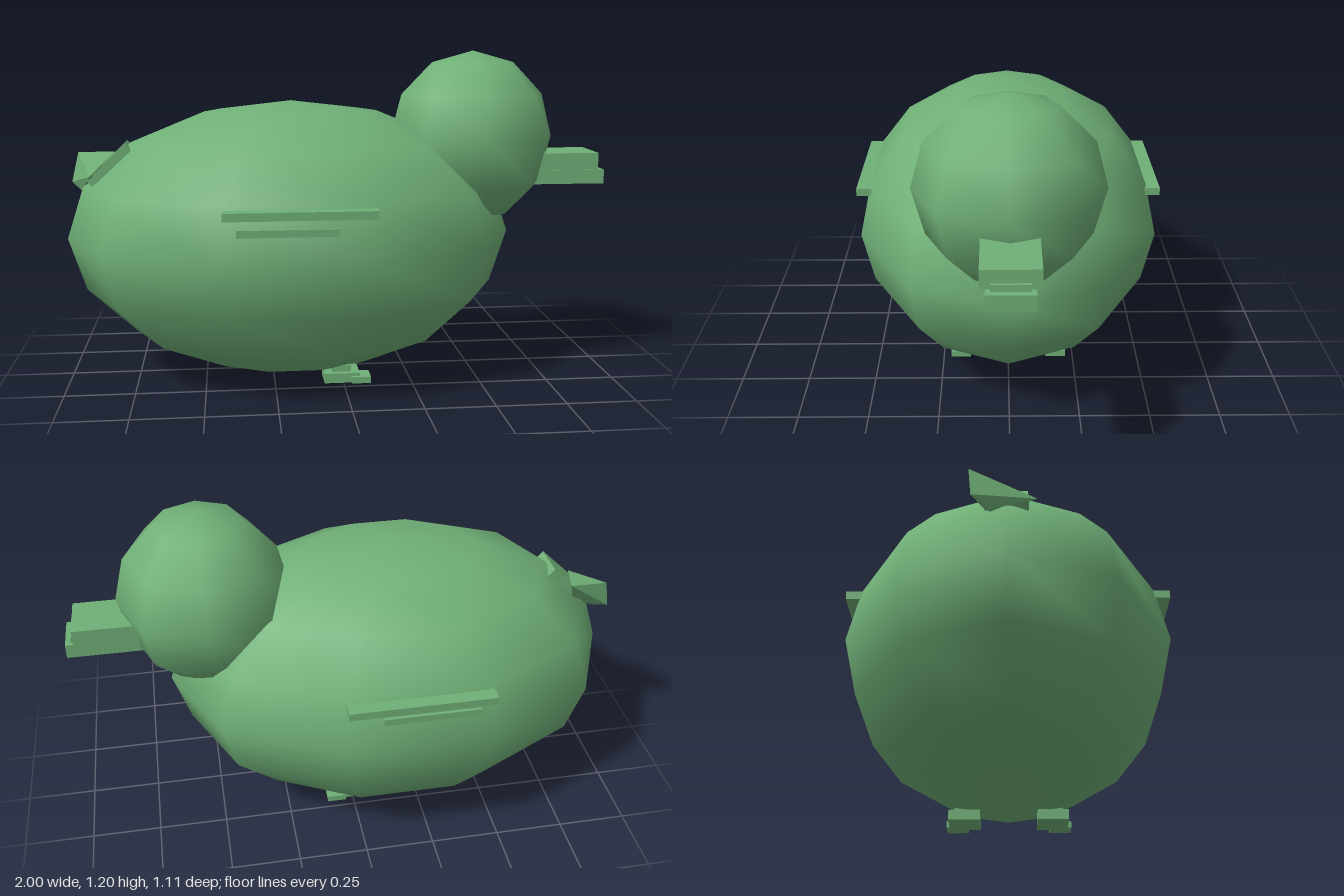
import * as THREE from 'three';
import { ConvexGeometry } from 'three/addons/geometries/ConvexGeometry.js';

export function createModel() {
  const model = new THREE.Group();
  model.name = 'bird';
  const green = new THREE.MeshStandardMaterial({ color: 0x70b077 });
  const facetedGreen = new THREE.MeshStandardMaterial({ color: 0x70b077, flatShading: true });

  function add(name, geometry, material = green) {
    const mesh = new THREE.Mesh(geometry, material);
    mesh.name = name;
    model.add(mesh);
    return mesh;
  }

  // Box given by its extents on each axis
  function box(name, [x0, x1], [y0, y1], [z0, z1]) {
    const mesh = add(name, new THREE.BoxGeometry(x1 - x0, y1 - y0, z1 - z0));
    mesh.position.set((x0 + x1) / 2, (y0 + y1) / 2, (z0 + z1) / 2);
    return mesh;
  }

  // Stretched low-poly sphere with smooth normals
  function ellipsoid(name, center, radii, around, rows) {
    const geometry = new THREE.SphereGeometry(1, around, rows);
    geometry.scale(...radii);
    add(name, geometry).position.set(...center);
  }

  ellipsoid('body', [-0.175, 0.517, 0], [0.825, 0.504, 0.575], 10, 8);
  ellipsoid('head', [0.504, 0.88, 0], [0.308, 0.32, 0.32], 8, 6);

  // Beak: wide upper bill, tongue and lower bill
  box('upperBeak', [0.68, 0.97], [0.76, 0.823], [-0.092, 0.092]);
  box('tongue', [0.7, 0.98], [0.75, 0.78], [-0.06, 0.06]);
  box('lowerBeak', [0.66, 1.0], [0.705, 0.757], [-0.075, 0.075]);

  // Wings and feet, mirrored to both sides
  for (const side of [1, -1]) {
    const across = (a, b) => (side > 0 ? [a, b] : [-b, -a]);
    box('wing', [-0.43, 0.08], [0.674, 0.702], across(0.5, 0.556));
    box('lowerWingFeather', [-0.385, -0.045], [0.615, 0.64], across(0.47, 0.531));
    box('ankle', [-0.04, 0.03], [0.025, 0.06], across(0.12, 0.19));
    box('foot', [-0.07, 0.06], [0, 0.036], across(0.1, 0.21));
    box('toe', [0.03, 0.1], [0, 0.024], across(0.145, 0.222));
  }

  // Tail: a slanted plank and a twisted wedge-shaped feather
  const plank = add('tailBase', new THREE.BoxGeometry(0.19, 0.035, 0.135));
  plank.position.set(-0.835, 0.795, 0);
  plank.rotation.z = 0.76;
  const feather = [
    [-0.965, 0.825, -0.115], [-0.83, 0.825, -0.115], [-0.99, 0.715, -0.1],
    [-0.95, 0.69, -0.05], [-0.87, 0.72, -0.05], [-0.9, 0.76, 0.095],
  ].map((p) => new THREE.Vector3(...p));
  add('tailFeather', new ConvexGeometry(feather), facetedGreen);

  return model;
}
